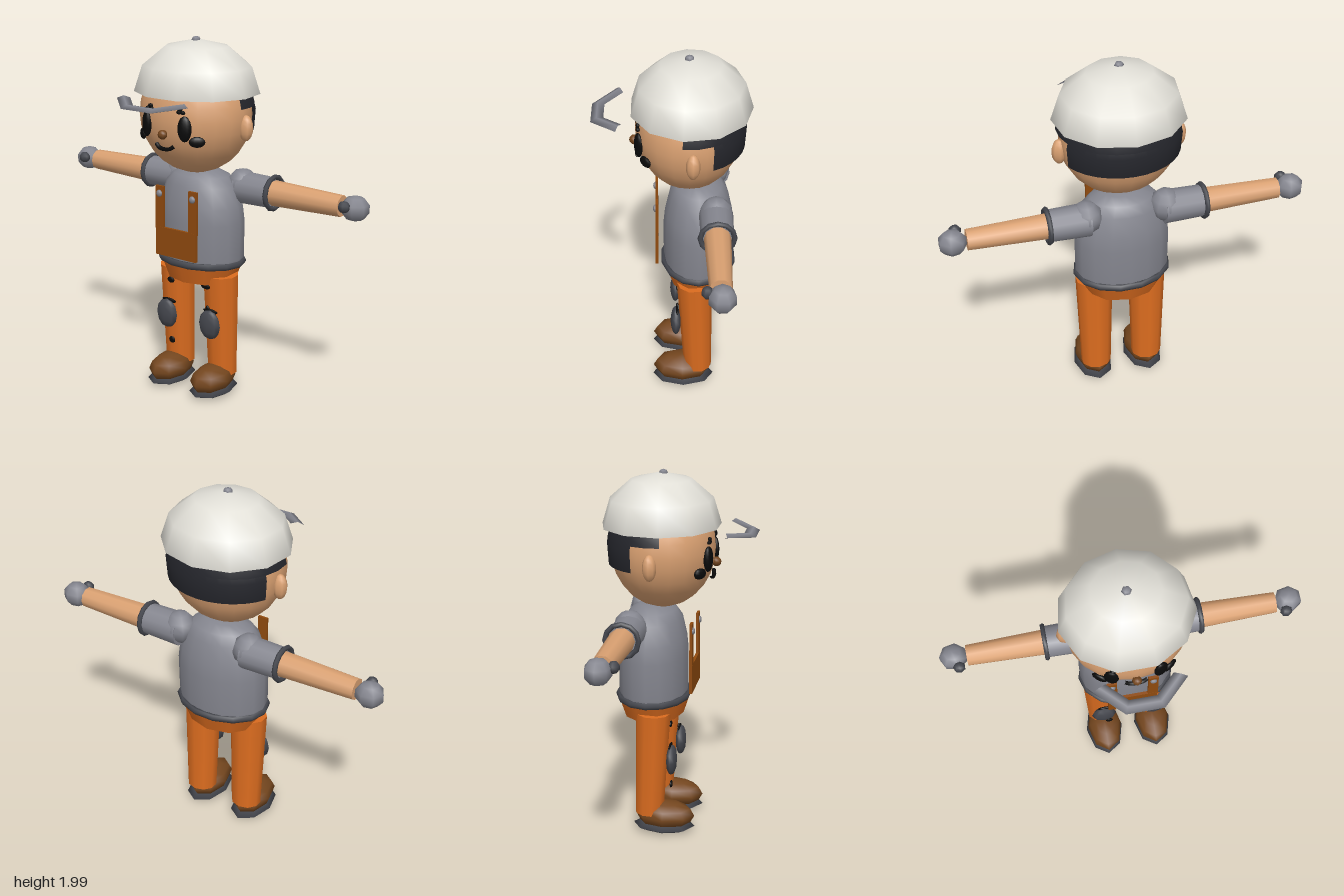
import * as THREE from 'three';

const mat = (name, color, side = THREE.FrontSide) => {
  const m = new THREE.MeshStandardMaterial({ color, side });
  m.name = name;
  return m;
};

export function createModel() {
  const root = new THREE.Group();
  root.name = 'worker';
  const skin = mat('skin', 0xd9a071);
  const white = mat('helmetWhite', 0xe2e0d8, THREE.DoubleSide);
  const grey = mat('shirtGrey', 0x85868f);
  const dark = mat('darkGrey', 0x45474e);
  const orange = mat('trouserOrange', 0xdb6c1f);
  const bibBrown = mat('bibBrown', 0x8f4a0e);
  const brown = mat('shoeBrown', 0x74461e);
  const hairMat = mat('hairBlack', 0x25262c, THREE.DoubleSide);
  const black = mat('black', 0x0a0a0a);

  const add = (name, geo, material, x = 0, y = 0, z = 0) => {
    const m = new THREE.Mesh(geo, material);
    m.name = name;
    m.position.set(x, y, z);
    root.add(m);
    return m;
  };
  // ellipsoid with its own radii and segment counts
  const ball = (name, material, [x, y, z], [rx, ry, rz], w = 10, h = 8) =>
    add(name, new THREE.SphereGeometry(1, w, h).scale(rx, ry, rz), material, x, y, z);
  const box = (name, material, [x, y, z], [w, h, d]) =>
    add(name, new THREE.BoxGeometry(w, h, d), material, x, y, z);

  // head
  const HZ = -0.09;
  ball('head', skin, [0, 1.59, HZ], [0.315, 0.32, 0.28], 20, 14);
  ball('nose', brown, [0, 1.52, 0.195], [0.026, 0.026, 0.026], 8, 6);

  // hair bands hugging the skull: short at the sides, longer at the back
  const hair = (name, half, top, bottom) => {
    const t0 = Math.acos((top - 1.59) / 0.34), t1 = Math.acos((bottom - 1.59) / 0.34);
    const g = new THREE.SphereGeometry(1, 12, 2, Math.PI * 1.5 - half, half * 2, t0, t1 - t0);
    add(name, g.scale(0.332, 0.34, 0.3), hairMat, 0, 1.59, HZ);
  };
  hair('sideHair', 1.7, 1.73, 1.65);
  hair('backHair', 1.16, 1.73, 1.51);

  // helmet dome, eleven sided, with a knob and a separate visor
  const dome = new THREE.SphereGeometry(1, 11, 3, Math.PI * 1.5, Math.PI * 2, 0, Math.PI / 2);
  add('helmet', dome.scale(0.35, 0.28, 0.32), white, 0, 1.708, -0.1);
  ball('helmetKnob', grey, [0, 1.982, -0.09], [0.026, 0.02, 0.026], 6, 4);
  const arc = 2.3;
  const visor = new THREE.TorusGeometry(0.22, 0.036, 4, 3, arc)
    .rotateZ((Math.PI - arc) / 2).rotateX(Math.PI / 2).scale(1, 0.36, 1).rotateX(0.17);
  add('visor', visor, grey, 0, 1.718, 0.178);

  // smile
  const smile = new THREE.CatmullRomCurve3([
    [-0.06, 1.462, 0.172], [-0.035, 1.445, 0.178], [0, 1.44, 0.18],
    [0.035, 1.445, 0.178], [0.06, 1.462, 0.172],
  ].map((p) => new THREE.Vector3(...p)));
  add('mouth', new THREE.TubeGeometry(smile, 12, 0.011, 6), black);

  // torso
  const profile = [[0.24, 0.75], [0.258, 0.8], [0.26, 1.0], [0.248, 1.09], [0.215, 1.2],
    [0.17, 1.25], [0.1, 1.28], [0, 1.288]].map(([r, y]) => new THREE.Vector2(r, y));
  const BZ = -0.145;
  add('shirt', new THREE.LatheGeometry(profile, 16).scale(1, 1, 0.73), grey, 0, 0, BZ);
  add('shirtHem', new THREE.TorusGeometry(0.25, 0.02, 6, 14).rotateX(Math.PI / 2).scale(1, 1, 0.77),
    dark, 0, 0.77, BZ);
  add('hips', new THREE.CylinderGeometry(0.25, 0.205, 0.11, 10).scale(1, 1, 0.8), orange, 0, 0.712, BZ);

  // bib
  box('bib', bibBrown, [0, 0.895, 0.08], [0.272, 0.16, 0.016]);

  for (const s of [1, -1]) {
    const side = s > 0 ? 'left' : 'right';

    // face
    ball(side + 'Ear', skin, [s * 0.318, 1.545, -0.105], [0.04, 0.07, 0.037], 8, 8);
    ball(side + 'Eye', black, [s * 0.125, 1.56, 0.17], [0.038, 0.068, 0.02], 12, 10).rotation.y = s * 0.38;
    ball(side + 'Cheek', black, [s * 0.18, 1.493, 0.135], [0.043, 0.029, 0.015], 10, 8).rotation.y = s * 0.65;
    for (const [x, y] of [[0.115, 1.645], [0.097, 1.66], [0.09, 1.645]])
      ball(side + 'Eyebrow', black, [s * x, y, 0.172], [0.017, 0.011, 0.012], 6, 4);

    // bib strap and button
    box(side + 'Strap', bibBrown, [s * 0.112, 1.085, 0.08], [0.055, 0.24, 0.014]);
    ball(side + 'Button', grey, [s * 0.112, 1.163, 0.088], [0.02, 0.02, 0.012], 8, 6);

    // arm, stretched out sideways
    const AY = 1.185, AZ = -0.23;
    const limb = (name, m, x0, x1, r0, r1, n) =>
      add(side + name, new THREE.CylinderGeometry(r1, r0, x1 - x0, n).rotateZ(-s * Math.PI / 2),
        m, s * (x0 + x1) / 2, AY, AZ);
    ball(side + 'Shoulder', grey, [s * 0.215, 1.2, AZ], [0.088, 0.09, 0.088], 8, 6);
    limb('Sleeve', grey, 0.2, 0.42, 0.09, 0.085, 12);
    add(side + 'Cuff', new THREE.TorusGeometry(0.088, 0.014, 6, 12).rotateY(Math.PI / 2),
      dark, s * 0.42, AY, AZ);
    limb('Forearm', skin, 0.41, 0.84, 0.07, 0.057, 10);
    ball(side + 'Hand', grey, [s * 0.912, AY, -0.235], [0.078, 0.069, 0.072], 7, 5);
    ball(side + 'Thumb', dark, [s * 0.887, 1.203, -0.163], [0.034, 0.032, 0.03], 7, 5);

    // leg, leaning slightly back
    const leg = new THREE.CylinderGeometry(0.103, 0.085, 0.59, 10).scale(1, 1, 0.93);
    add(side + 'Leg', leg, orange, s * 0.15, 0.41, -0.135).rotation.x = 0.042;
    ball(side + 'KneePad', dark, [s * 0.15, 0.43, -0.022], [0.072, 0.085, 0.03], 8, 6);

    // shoe and sole
    ball(side + 'Shoe', brown, [s * 0.148, 0.1, -0.06], [0.102, 0.08, 0.165], 8, 6);
    ball(side + 'Sole', dark, [s * 0.15, 0.04, -0.065], [0.11, 0.032, 0.172], 8, 4);
  }

  // dark patches on the trousers
  for (const [x, y, rx, ry] of [
    [-0.127, 0.632, 0.025, 0.018], [0.116, 0.645, 0.032, 0.016], [-0.12, 0.272, 0.022, 0.02],
    [-0.14, 0.507, 0.05, 0.014], [0.15, 0.507, 0.05, 0.014], [0.13, 0.52, 0.013, 0.016],
  ]) ball('trouserPatch', black, [x, y, -0.03], [rx, ry, 0.008], 8, 6);

  return root;
}
